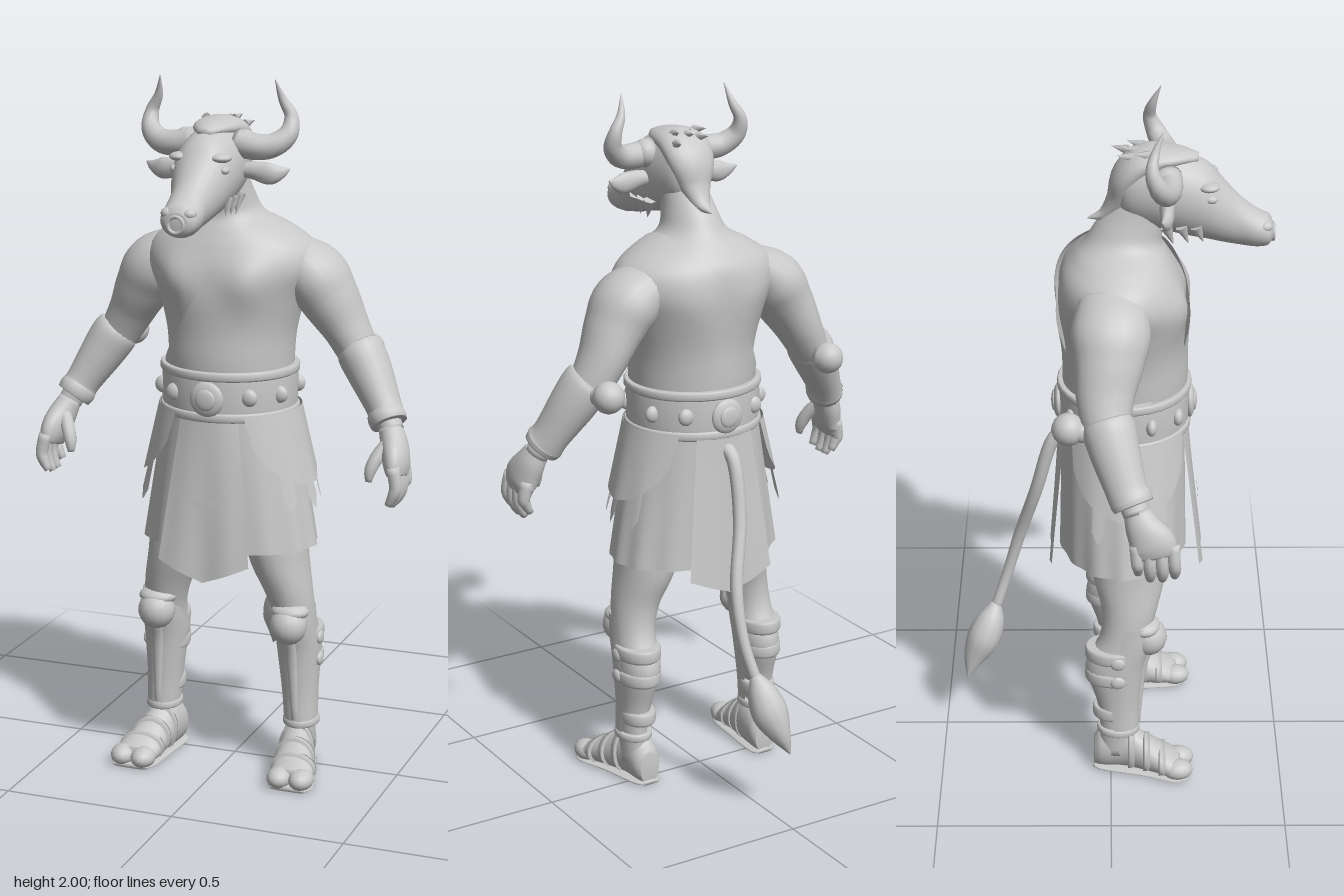
import * as THREE from 'three';
import { mergeVertices } from 'three/addons/utils/BufferGeometryUtils.js';

const V = (x, y, z) => new THREE.Vector3(x, y, z);
const X = V(1, 0, 0), Z = V(0, 0, 1), DOWN = V(0, -1, 0);

// Smooth grid surface from a rule f(u, v), both 0..1
function surface(f, nu, nv) {
  const pos = [], idx = [];
  for (let i = 0; i <= nv; i++) for (let j = 0; j <= nu; j++) pos.push(...f(j / nu, i / nv).toArray());
  for (let i = 0; i < nv; i++) for (let j = 0; j < nu; j++) {
    const a = i * (nu + 1) + j, b = a + nu + 1;
    idx.push(a, a + 1, b, a + 1, b + 1, b);
  }
  const g = new THREE.BufferGeometry();
  g.setAttribute('position', new THREE.Float32BufferAttribute(pos, 3));
  g.setIndex(idx);
  const m = mergeVertices(g, 1e-5);
  m.computeVertexNormals();
  return m;
}

// Elliptic sections [x, y, z, radiusA, radiusB] joined along a smooth path
function sweep(rows, { ref = X, dir, span, mod, seg = 20, steps = 5 } = {}) {
  const curve = pts => new THREE.CatmullRomCurve3(pts, false, 'catmullrom', 0.5);
  const path = curve(rows.map(r => V(r[0], r[1], r[2])));
  const size = curve(rows.map(r => V(r[3], r[4], 0)));
  const n = (rows.length - 1) * steps;
  return surface((u, v) => {
    const k = Math.round(v * (n + 2)) - 1, t = Math.min(Math.max(k / n, 0), 1);
    const p = path.getPoint(t), s = size.getPoint(t), T = dir || path.getTangent(t);
    const A = ref.clone().addScaledVector(T, -T.dot(ref)).normalize(), B = T.clone().cross(A);
    const [a0, a1] = span ? span(p, s) : [0, Math.PI * 2];
    const a = a0 + (a1 - a0) * u, cap = !span && (k < 0 || k > n) ? 0 : 1;
    p.addScaledVector(A, s.x * Math.cos(a) * cap).addScaledVector(B, s.y * Math.sin(a) * cap);
    return mod ? mod(p) : p;
  }, seg, n + 2);
}

const band = (x, y, z, rx, rz, h) => sweep([[x, y + h, z, rx - 0.005, rz - 0.005], [x, y + h * 0.6, z, rx, rz],
  [x, y - h * 0.6, z, rx, rz], [x, y - h, z, rx - 0.005, rz - 0.005]], { dir: DOWN, steps: 2, seg: 32 });

const ball = (x, y, z, a, b = a, c = a) => new THREE.SphereGeometry(1, 16, 12).scale(a, b, c).translate(x, y, z);

function spike(from, to, r) {
  const d = to.clone().sub(from), g = new THREE.ConeGeometry(r, d.length(), 6).translate(0, d.length() / 2, 0);
  g.applyQuaternion(new THREE.Quaternion().setFromUnitVectors(V(0, 1, 0), d.normalize()));
  return g.translate(from.x, from.y, from.z);
}

// Skirt surface: angle round the waist, height, outward offset
function skirtAt(a, y, off) {
  const t = (1.08 - y) / 0.4, k = 1 + 0.015 * t * Math.cos(14 * a);
  return V((0.188 + 0.068 * t + off) * k * Math.cos(a), y, 0.035 + (0.175 + 0.008 * t + off) * k * Math.sin(a));
}
const drape = (mid, half, top, bottom, off) => surface((u, v) => {
  const w = 2 * u - 1, y = top + (bottom(w) - top) * v;
  return skirtAt(mid + half * w, y, off((1.08 - y) / 0.4, w));
}, 24, 12);

export function createModel() {
  const model = new THREE.Group();
  const stone = new THREE.MeshStandardMaterial({ color: 0xc8c8c8, side: THREE.DoubleSide });
  stone.name = 'light grey';
  const add = (name, geo) => {
    const m = new THREE.Mesh(geo, stone);
    m.name = name;
    model.add(m);
  };
  const pair = (name, geo) => {
    add('left ' + name, geo);
    const g = geo.clone().applyMatrix4(new THREE.Matrix4().makeScale(-1, 1, 1)), i = g.index.array;
    for (let k = 0; k < i.length; k += 3) [i[k], i[k + 1]] = [i[k + 1], i[k]];
    g.computeVertexNormals();
    add('right ' + name, g);
  };

  // Torso with chest muscles, and neck
  const torso = [[1.75, .06, .16, .02], [1.68, .072, .148, -.035], [1.625, .095, .14, -.07], [1.585, .165, .158, -.105],
    [1.54, .225, .18, -.136], [1.48, .24, .2, -.146], [1.4, .207, .208, -.143], [1.3, .18, .205, -.13],
    [1.2, .172, .205, -.125], [1.02, .165, .19, -.115], [.8, .18, .15, -.1], [.72, .12, .1, -.05]]
    .map(([y, rx, f, b]) => [0, y, (f + b) / 2, rx, (f - b) / 2]);
  const chest = p => {
    const q = Math.exp(-(((Math.abs(p.x) - .11) / .06) ** 2) - ((p.y - 1.45) / .07) ** 2);
    if (p.z > .05) p.z += .022 * q;
    else if (p.z < -.03) p.z += .01 * Math.exp(-((p.x / .03) ** 2) - ((p.y - 1.38) / .12) ** 2) - .008 * q;
    return p;
  };
  add('torso', sweep(torso, { dir: DOWN, mod: chest, seg: 40 }));

  // Tunic over the left shoulder, cut along a diagonal
  const cloth = torso.slice(2, 10).map(([x, y, z, a, b], i) => [x, y, z, a + (i ? .011 : -.004), b + (i ? .011 : -.004)]);
  add('tunic', sweep(cloth, { dir: DOWN, mod: chest, seg: 40, span: (p, s) => {
    const a = Math.acos(Math.min(1, Math.max(-1, (.09 - (1.6 - p.y) * .65) / s.x)));
    return [-a, a];
  } }));

  // Belt with rims, buckles and studs
  add('belt', band(0, 1.13, .038, .193, .184, .066));
  for (const y of [1.072, 1.188]) add('belt rim', band(0, y, .038, .198, .189, .013));
  for (const s of [1, -1]) {
    add('buckle', ball(0, 1.125, .038 + s * .185, .05, .05, .016));
    add('buckle boss', ball(0, 1.125, .038 + s * .198, .03, .03, .008));
    for (const a of [.62, 1.15]) pair('belt stud',
      ball(.19 * Math.sin(a), 1.13, .038 + s * .182 * Math.cos(a), .025, .025, .016));
  }

  // Skirt, pointed panels and hip guards
  add('skirt', surface((u, v) => skirtAt(u * Math.PI * 2, 1.08 - .4 * v, 0), 112, 10));
  const point = u => .66 - .055 * (1 - Math.abs(u));
  const front = (t, u) => .008 + .032 * t + .02 * t * u * u;
  add('front panel', drape(Math.PI / 2, .44, 1.08, point, front));
  add('back panel', drape(-Math.PI / 2, .46, 1.08, point, (t, u) => .008 + .014 * t + .025 * t * u * u));
  add('panel emblem', drape(Math.PI / 2, .17, .845, u => .843 - .06 * (1 - Math.abs(u)), t => .009 + front(t, 0)));
  pair('hip guard', drape(.1, .95, 1.08, u => 1.07 - .2 * Math.sqrt(Math.max(0, 1 - u * u)), t => .016 + .03 * t));
  for (const a of [-.35, .1, .55]) pair('hip strap',
    drape(a, .09, 1.0, u => .83 - .035 * (1 - Math.abs(u)), t => .008 + .03 * t));

  // Arms, bracers and elbow knobs
  pair('arm', sweep([[.15, 1.52, 0, .055, .085], [.232, 1.455, 0, .089, .108], [.277, 1.39, -.005, .082, .096],
    [.322, 1.31, -.015, .066, .08], [.368, 1.23, -.01, .056, .064], [.41, 1.17, .02, .05, .055],
    [.46, 1.09, .05, .037, .042], [.488, 1.04, .068, .034, .036]]));
  pair('bracer', sweep([[.36, 1.255, -.012, .062, .066], [.374, 1.235, -.005, .067, .073], [.405, 1.185, .01, .063, .069],
    [.455, 1.1, .04, .05, .058], [.468, 1.075, .053, .054, .06], [.477, 1.06, .06, .051, .056]]));
  pair('elbow knob', ball(.36, 1.23, -.115, .045));
  pair('elbow stem', ball(.365, 1.225, -.075, .03, .03, .04));

  // Hands
  pair('palm', sweep([[.483, 1.05, .068, .033, .036], [.5, 1.01, .085, .038, .05], [.514, .965, .11, .036, .064],
    [.52, .93, .118, .025, .06]]));
  for (let i = 0; i < 4; i++) {
    const z = .066 + i * .033, d = i === 0 ? .02 : i === 3 ? .01 : 0;
    pair('finger', sweep([[.52, .965, z, .019, .019], [.53, .915, z + .004, .018, .018],
      [.525, .88 + d, z + .006, .016, .017], [.51, .85 + d, z + .006, .01, .011]], { seg: 10, steps: 3 }));
  }
  pair('thumb', sweep([[.49, 1.02, .1, .02, .02], [.464, .98, .13, .02, .02], [.45, .945, .145, .017, .018],
    [.447, .915, .15, .009, .01]], { seg: 10, steps: 3 }));

  // Legs, greaves and straps
  pair('leg', sweep([[.11, .85, .03, .09, .11], [.14, .72, .05, .09, .11], [.157, .63, .052, .083, .102],
    [.185, .54, .053, .068, .08], [.2, .46, .04, .06, .072], [.205, .36, .006, .06, .08],
    [.212, .24, .014, .045, .056], [.217, .16, .018, .038, .05], [.213, .06, .02, .038, .055]], { dir: DOWN }));
  pair('greave', sweep([[.203, .51, .055, .058, .07], [.204, .44, .045, .06, .074], [.206, .36, .022, .062, .074],
    [.21, .24, .022, .052, .062], [.214, .15, .026, .048, .056]], { dir: DOWN, span: () => [-.3, Math.PI + .3] }));
  pair('greave ridge', sweep([[.203, .42, .112, .018, .012], [.207, .34, .09, .016, .012], [.213, .16, .078, .01, .008]]));
  pair('knee guard', ball(.202, .455, .108, .054, .056, .054));
  pair('knee flare', ball(.203, .495, .095, .056, .026, .048));
  for (const [y, rx, rz] of [[.41, .064, .083], [.335, .063, .083], [.205, .05, .061]])
    pair('calf strap', band(.207, y, .008, rx, rz, .02));
  pair('greave rim', band(.214, .145, .022, .052, .062, .012));
  for (const y of [.4, .335]) pair('strap buckle', ball(.268, y, .02, .01, .02, .022));

  // Feet in sandals
  const floor = p => (p.y = Math.max(0, p.y), p);
  pair('foot', sweep([[.2, .05, -.05, .03, .05], [.203, .066, -.025, .043, .066], [.208, .075, .04, .046, .075],
    [.222, .058, .1, .054, .058], [.236, .038, .165, .064, .04], [.242, .026, .205, .06, .028]], { dir: Z, mod: floor }));
  for (const [x, z] of [[.21, .2], [.274, .196]]) pair('toe', ball(x, .03, z, .036, .03, .045));
  pair('sole', sweep([[.2, .006, -.052, .03, .008], [.203, .006, -.02, .045, .008], [.222, .006, .1, .056, .008],
    [.24, .006, .18, .068, .008], [.242, .006, .225, .055, .008]], { dir: Z, mod: floor }));
  for (const [x, y, z, w, h] of [[.213, .07, .06, .052, .076], [.224, .058, .105, .059, .06], [.234, .043, .15, .067, .047]])
    pair('sandal strap', sweep([[x, y, z - .01, w, h], [x, y, z + .01, w, h - .004]], { dir: Z, mod: floor, steps: 2 }));

  // Head and muzzle
  add('head', sweep([[0, 1.78, .01, .03, .05], [0, 1.78, .045, .068, .095], [0, 1.775, .12, .086, .112],
    [0, 1.757, .2, .09, .115], [0, 1.738, .26, .084, .108], [0, 1.708, .305, .068, .089], [0, 1.682, .345, .056, .071],
    [0, 1.66, .39, .055, .055], [0, 1.652, .425, .05, .043], [0, 1.65, .44, .03, .025]], { dir: Z, seg: 24 }));
  pair('brow', ball(.058, 1.8, .262, .03, .013, .03));
  pair('eye', ball(.072, 1.768, .268, .012, .011, .017));
  pair('nostril', ball(.03, 1.672, .418, .02, .016, .02));
  add('nose ring', new THREE.TorusGeometry(.022, .005, 8, 20).translate(0, 1.645, .442));
  for (let i = 0; i < 3; i++)
    pair('jaw tuft', spike(V(.07, 1.69, .15 + i * .04), V(.066, 1.635 + i * .004, .17 + i * .04), .018));

  // Ears and horns
  pair('ear', sweep([[.07, 1.755, .15, .02, .018], [.11, 1.755, .15, .02, .025], [.155, 1.748, .148, .018, .03],
    [.185, 1.752, .142, .01, .018], [.208, 1.762, .135, .002, .003]], { ref: Z, seg: 12 }));
  pair('horn base', ball(.085, 1.825, .15, .035, .04, .04));
  pair('horn', sweep([[.06, 1.83, .155, .036, .038], [.115, 1.82, .155, .036, .036], [.165, 1.825, .145, .033, .033],
    [.2, 1.855, .125, .027, .027], [.202, 1.9, .108, .019, .019], [.18, 1.945, .115, .012, .012],
    [.166, 2.0, .137, .001, .001]], { ref: Z, seg: 14 }));

  // Mane with tufts
  add('mane', sweep([[0, 1.862, .235, .02, .012], [0, 1.867, .17, .058, .025], [0, 1.855, .09, .074, .04],
    [0, 1.81, .042, .07, .04], [0, 1.745, .02, .046, .032], [0, 1.7, -.015, .024, .018], [0, 1.685, -.062, .002, .002]]));
  for (let i = 0; i < 12; i++) {
    const a = .35 + i * .17, x = ((i * 5) % 7 - 3) * .015;
    const p = V(x, 1.785 + .1 * Math.sin(a), .1 + .09 * Math.cos(a));
    add('mane tuft', spike(p, p.clone().add(V(x * .3, .018 * Math.sin(a) - .008, -.045)), .014));
  }

  // Tail and its tuft
  add('tail', sweep([[0, 1.04, -.12, .022, .022], [-.01, .99, -.17, .02, .02], [0, .83, -.215, .019, .019],
    [.042, .66, -.265, .018, .018], [.045, .52, -.305, .016, .016], [.025, .4, -.345, .016, .016]], { seg: 12 }));
  add('tail tuft', sweep([[.028, .42, -.34, .014, .014], [.015, .37, -.358, .042, .042], [.002, .31, -.382, .052, .05],
    [-.015, .25, -.41, .03, .032], [-.035, .195, -.43, .002, .002]], { seg: 12 }));
  return model;
}
